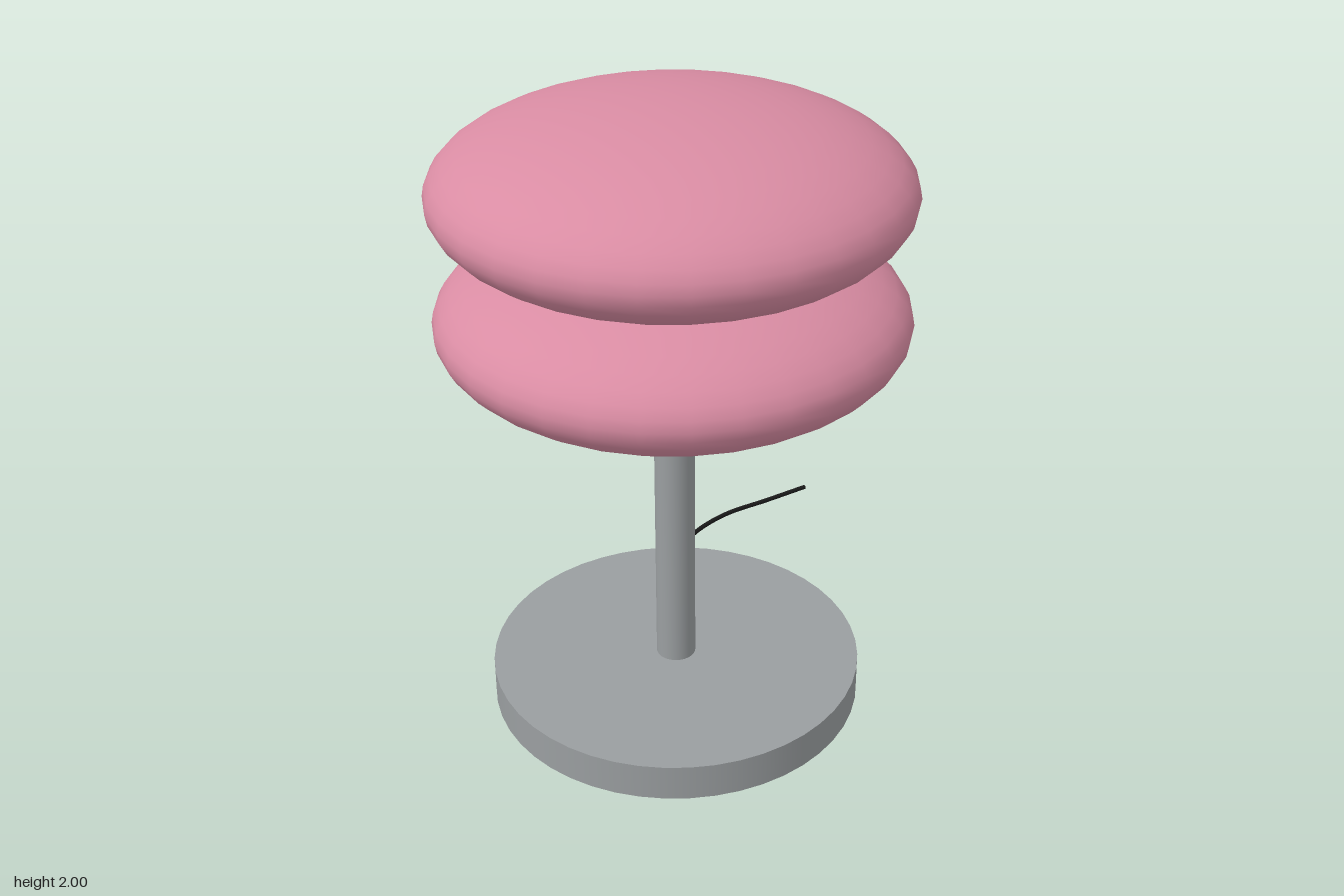
import * as THREE from 'three';

export function createModel() {
  const lamp = new THREE.Group();
  lamp.name = 'tableLamp';

  const material = (name, color) => {
    const m = new THREE.MeshStandardMaterial({ color });
    m.name = name;
    return m;
  };
  const pink = material('pinkShade', 0xd98ca3);
  const grey = material('greyMetal', 0x9a9ea0);
  const black = material('blackCable', 0x1a1a1a);

  const add = (name, geometry, mat, x, y, z) => {
    const mesh = new THREE.Mesh(geometry, mat);
    mesh.name = name;
    mesh.position.set(x, y, z);
    lamp.add(mesh);
    return mesh;
  };

  // The cable trails off to one side, so the lamp stands off centre
  const cx = -0.12, cz = 0.04;

  // Round foot and stem
  add('base', new THREE.CylinderGeometry(0.593, 0.593, 0.12, 48), grey, cx, 0.06, cz);
  add('stem', new THREE.CylinderGeometry(0.063, 0.063, 1.13, 24), grey, cx, 0.685, cz);

  // Two flattened, overlapping globes
  for (const [name, y] of [['lowerShade', 1.35], ['upperShade', 1.75]]) {
    const shade = add(name, new THREE.SphereGeometry(0.71, 32, 24), pink, cx, y, cz);
    shade.scale.y = 0.25 / 0.71;
  }

  // Power cable leaving the back of the foot
  const path = new THREE.CatmullRomCurve3([
    [0.13, 0.054, -0.49], [0.21, 0.047, -0.58], [0.32, 0.041, -0.66],
    [0.47, 0.036, -0.717], [0.65, 0.033, -0.735], [0.825, 0.034, -0.75],
  ].map((p) => new THREE.Vector3(...p)));
  add('cable', new THREE.TubeGeometry(path, 32, 0.008, 8), black, 0, 0, 0);
  for (const [name, t, dir] of [['cableStart', 0, -1], ['cableEnd', 1, 1]]) {
    const p = path.getPoint(t);
    const cap = add(name, new THREE.CircleGeometry(0.008, 8), black, p.x, p.y, p.z);
    cap.lookAt(p.clone().addScaledVector(path.getTangent(t), dir));
  }

  return lamp;
}
